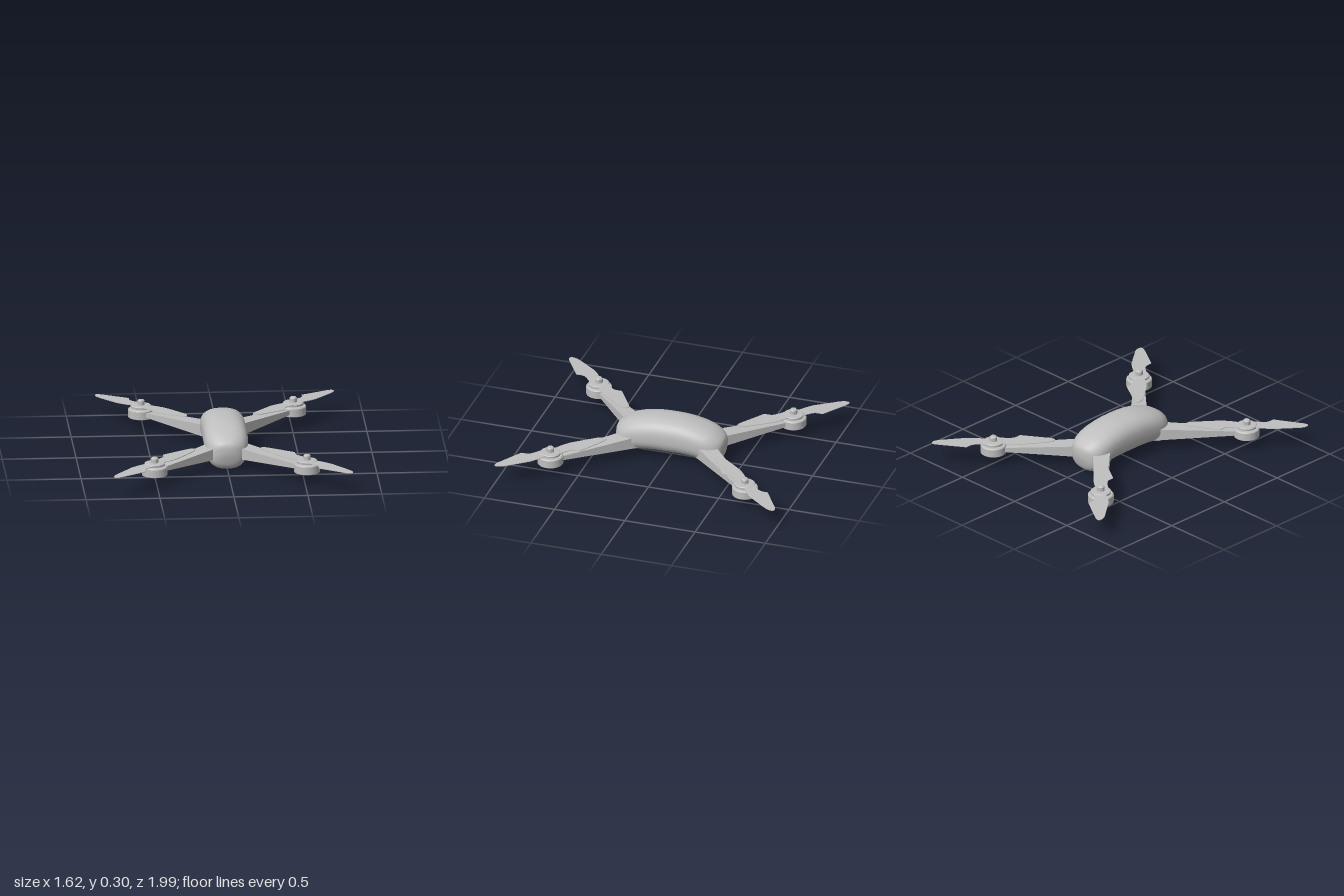
import * as THREE from 'three';
import { toCreasedNormals } from 'three/addons/utils/BufferGeometryUtils.js';

const grey = new THREE.MeshStandardMaterial({ color: 0xbfbfbf });
grey.name = 'lightGrey';

function part(name, geometry) {
  const mesh = new THREE.Mesh(geometry, grey);
  mesh.name = name;
  return mesh;
}

// Arched body: superelliptic sections swept from back to front
function bodyGeometry() {
  const half = [ // z, top, bottom
    [0.1, 0.296, 0.05], [0.2, 0.279, 0.042], [0.25, 0.265, 0.029], [0.29, 0.251, 0.013],
    [0.32, 0.236, 0.005], [0.345, 0.219, 0.015], [0.362, 0.205, 0.037],
    [0.376, 0.188, 0.08], [0.383, 0.168, 0.112], [0.385, 0.14, 0.14],
  ];
  const back = half.map(([z, t, b]) => new THREE.Vector3(-z, t, b)).reverse();
  const front = half.map(([z, t, b]) => new THREE.Vector3(z, t, b));
  const curve = new THREE.CatmullRomCurve3([...back, new THREE.Vector3(0, 0.3, 0.05), ...front]);
  const stations = curve.getPoints(80);
  const sides = 56;
  const power = (c, e) => Math.sign(c) * Math.abs(c) ** e;
  const positions = [], index = [];
  stations.forEach(({ x: z, y: top, z: bottom }, i) => {
    const r = Math.min(1, Math.abs(z) / 0.385);
    const width = 0.15 * Math.max(0, 1 - r ** 7) ** 0.4545;
    for (let j = 0; j < sides; j++) {
      const a = (j / sides) * Math.PI * 2;
      positions.push(
        width * power(Math.cos(a), 0.8),
        (top + bottom) / 2 + ((top - bottom) / 2) * power(Math.sin(a), 0.8),
        z);
      if (i === 0) continue;
      const k = (j + 1) % sides, p = (i - 1) * sides, q = i * sides;
      index.push(p + j, p + k, q + k, p + j, q + k, q + j);
    }
  });
  const g = new THREE.BufferGeometry();
  g.setAttribute('position', new THREE.Float32BufferAttribute(positions, 3));
  g.setIndex(index);
  g.computeVertexNormals();
  return g;
}

// Box tapering from root to motor, local x pointing outwards
function armGeometry() {
  const root = -0.643, length = 0.6;
  const g = new THREE.BoxGeometry(length, 1, 1);
  const p = g.attributes.position;
  for (let i = 0; i < p.count; i++) {
    const outer = p.getX(i) > 0;
    p.setX(i, outer ? root + length : root);
    p.setY(i, 0.113 + p.getY(i) * (outer ? 0.028 : 0.086));
    p.setZ(i, p.getZ(i) * (outer ? 0.07 : 0.125));
  }
  g.computeVertexNormals();
  return g;
}

function lathe(points) {
  const g = new THREE.LatheGeometry(points.map(([r, y]) => new THREE.Vector2(r, y)), 40);
  return toCreasedNormals(g, 0.6);
}

// Two-bladed propeller outline with point symmetry; hand mirrors the sweep
function propellerGeometry(hand) {
  const shape = new THREE.Shape();
  shape.moveTo(0.06, -0.036 * hand);
  for (const s of [1, -1]) {
    const h = s * hand;
    shape.lineTo(s * 0.06, -0.036 * h);
    shape.quadraticCurveTo(s * 0.1, -0.05 * h, s * 0.18, -0.052 * h);
    shape.lineTo(s * 0.34, -0.031 * h);
    shape.bezierCurveTo(s * 0.41, -0.025 * h, s * 0.445, 0.016 * h, s * 0.385, 0.034 * h);
    shape.lineTo(s * 0.18, 0.082 * h);
    shape.bezierCurveTo(s * 0.155, 0.06 * h, s * 0.15, 0.045 * h, s * 0.12, 0.043 * h);
    shape.quadraticCurveTo(s * 0.085, 0.042 * h, s * 0.05, 0.05 * h);
  }
  shape.closePath();
  const g = new THREE.ExtrudeGeometry(shape, { depth: 0.004, bevelEnabled: false, curveSegments: 10 });
  g.rotateX(Math.PI / 2);
  g.rotateZ(-0.018);
  g.translate(0, 0.163, 0);
  return g;
}

export function createModel() {
  const model = new THREE.Group();
  model.name = 'quadcopter';
  model.add(part('body', bodyGeometry()));

  const arm = armGeometry();
  const motor = lathe([[0, 0.08], [0.084, 0.08], [0.087, 0.083], [0.087, 0.136], [0.08, 0.143], [0, 0.143]]);
  const hub = lathe([[0, 0.142], [0.055, 0.142], [0.055, 0.149], [0.069, 0.149], [0.07, 0.161], [0.064, 0.166], [0, 0.168]]);
  const knob = lathe([[0, 0.165], [0.025, 0.165], [0.025, 0.194], [0.018, 0.202], [0, 0.203]]);

  // Four arms with motors and propellers
  for (const sx of [1, -1]) {
    for (const sz of [1, -1]) {
      const rotor = new THREE.Group();
      rotor.name = (sz > 0 ? 'front' : 'back') + (sx > 0 ? 'Left' : 'Right') + 'Rotor';
      rotor.add(
        part('arm', arm),
        part('motor', motor),
        part('propellerHub', hub),
        part('propellerCap', knob),
        part('propeller', propellerGeometry(sx * sz)));
      rotor.position.set(sx * 0.515, 0, sz * 0.692);
      rotor.rotation.y = Math.atan2(-sz, sx);
      model.add(rotor);
    }
  }
  return model;
}
